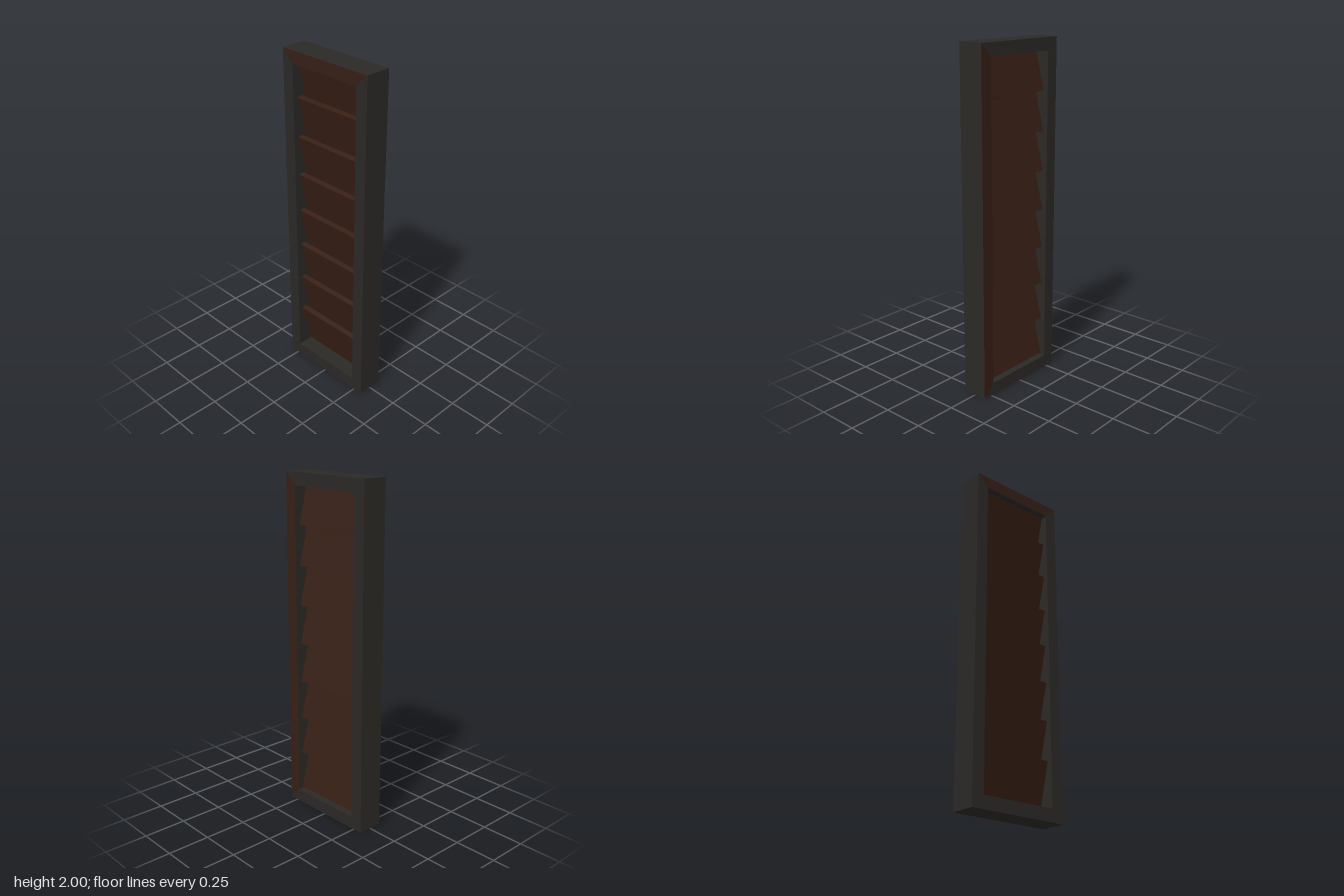
import * as THREE from 'three';

const W = 0.307, H = 2, D = 0.154; // half width, height, depth of the frame
const RAIL = 0.074;                // width of the frame members
const SLATS = 8;

const dark = new THREE.MeshStandardMaterial({ color: 0x2b2926 });
const wood = new THREE.MeshStandardMaterial({ color: 0x361f15 });

// One mitred frame member: a trapezoid run through the depth of the frame.
// Materials are given for its back face, front face and edges.
function member(name, corners, back, front) {
  const shape = new THREE.Shape(corners.map(([x, y]) => new THREE.Vector2(x, y)));
  const geo = new THREE.ExtrudeGeometry(shape, { depth: D, bevelEnabled: false });
  geo.translate(0, 0, -D / 2);
  const count = geo.attributes.position.count;
  geo.clearGroups();
  geo.addGroup(0, 6, 0);
  geo.addGroup(6, 6, 1);
  geo.addGroup(12, count - 12, 2);
  const mesh = new THREE.Mesh(geo, [back, front, dark]);
  mesh.name = name;
  return mesh;
}

export function createModel() {
  const model = new THREE.Group();
  model.name = 'louvredShutter';

  // Frame: outer and inner corners, counter-clockwise from bottom right-hand side (-x)
  const w = W - RAIL;
  const outer = [[-W, 0], [W, 0], [W, H], [-W, H]];
  const inner = [[-w, RAIL], [w, RAIL], [w, H - RAIL], [-w, H - RAIL]];
  const names = ['bottomRail', 'leftStile', 'topRail', 'rightStile'];
  const frame = new THREE.Group();
  frame.name = 'frame';
  names.forEach((name, i) => {
    const j = (i + 1) % 4;
    frame.add(member(
      name,
      [outer[i], outer[j], inner[j], inner[i]],
      name === 'leftStile' ? wood : dark,
      name === 'topRail' ? wood : dark
    ));
  });
  model.add(frame);

  // Slats: tilted boards, top edge towards the front, each overlapping the next
  const pitch = (H - 2 * RAIL) / SLATS;
  const slatGeo = new THREE.BoxGeometry(2 * w + 0.004, 0.273, 0.03);
  const slats = new THREE.Group();
  slats.name = 'slats';
  for (let i = 0; i < SLATS; i++) {
    const slat = new THREE.Mesh(slatGeo, wood);
    slat.name = 'slat' + (i + 1);
    slat.position.set(0, RAIL + 0.139 + i * pitch, 0);
    slat.rotation.x = 0.248;
    slats.add(slat);
  }
  model.add(slats);

  return model;
}
